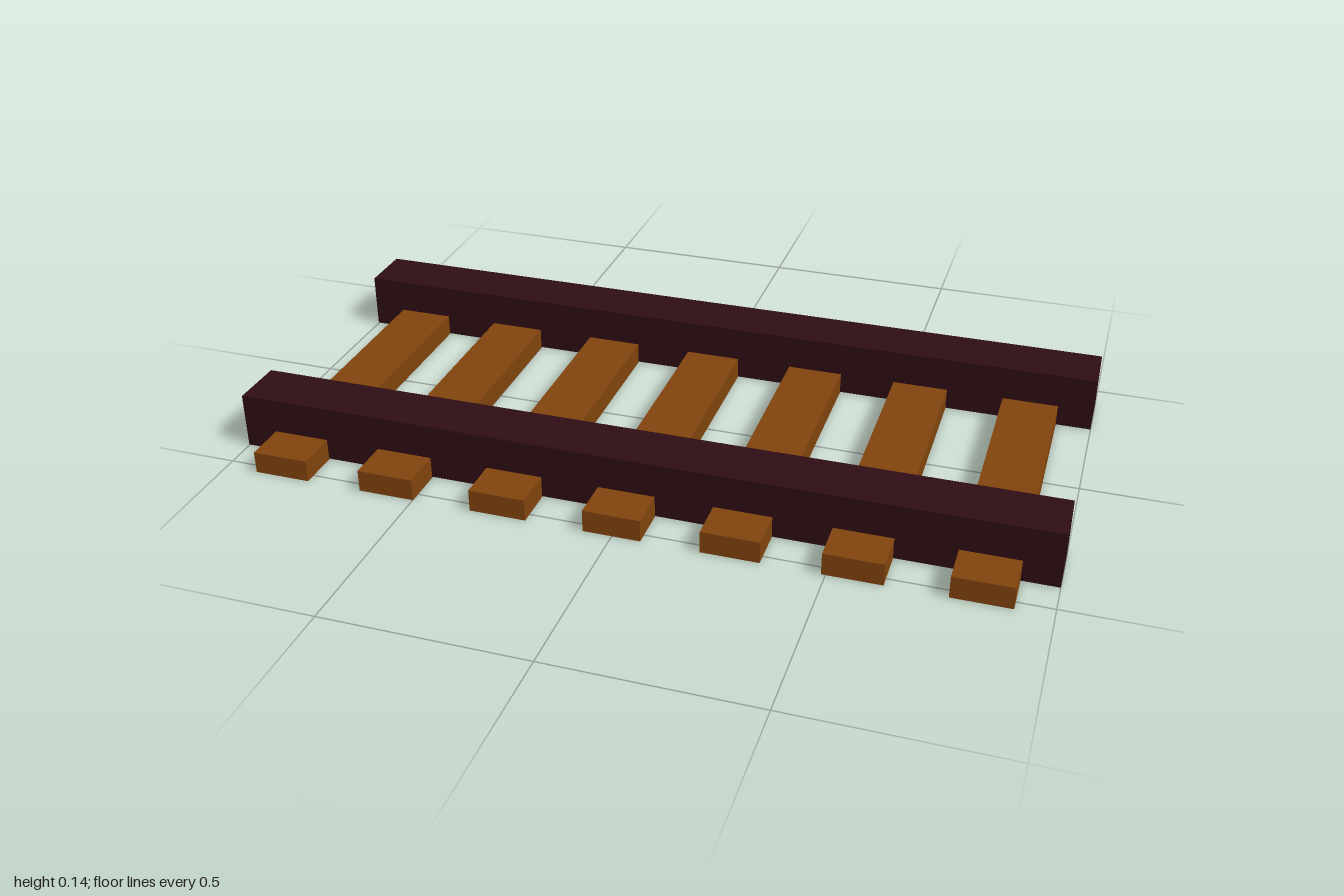
import * as THREE from 'three';

const tieMaterial = new THREE.MeshStandardMaterial({ color: 0x80430d });
const railMaterial = new THREE.MeshStandardMaterial({ color: 0x2d0d14 });

// Box resting with its underside at the given height
function beam(name, size, material, x, bottom, z) {
  const mesh = new THREE.Mesh(new THREE.BoxGeometry(...size), material);
  mesh.name = name;
  mesh.position.set(x, bottom + size[1] / 2, z);
  return mesh;
}

export function createModel() {
  const track = new THREE.Group();
  track.name = 'railwayTrack';

  // Wooden cross ties, slightly unevenly spaced
  const ties = new THREE.Group();
  ties.name = 'crossTies';
  [-0.847, -0.569, -0.283, -0.001, 0.28, 0.56, 0.843].forEach((x, i) => {
    ties.add(beam(`crossTie${i + 1}`, [0.14, 0.055, 1.054], tieMaterial, x, 0, 0));
  });

  // Square rails, their undersides a hair above those of the ties
  const rails = new THREE.Group();
  rails.name = 'rails';
  rails.add(beam('frontRail', [2, 0.139, 0.14], railMaterial, 0, 0.002, 0.351));
  rails.add(beam('backRail', [2, 0.139, 0.14], railMaterial, 0, 0.002, -0.358));

  track.add(ties, rails);
  return track;
}
